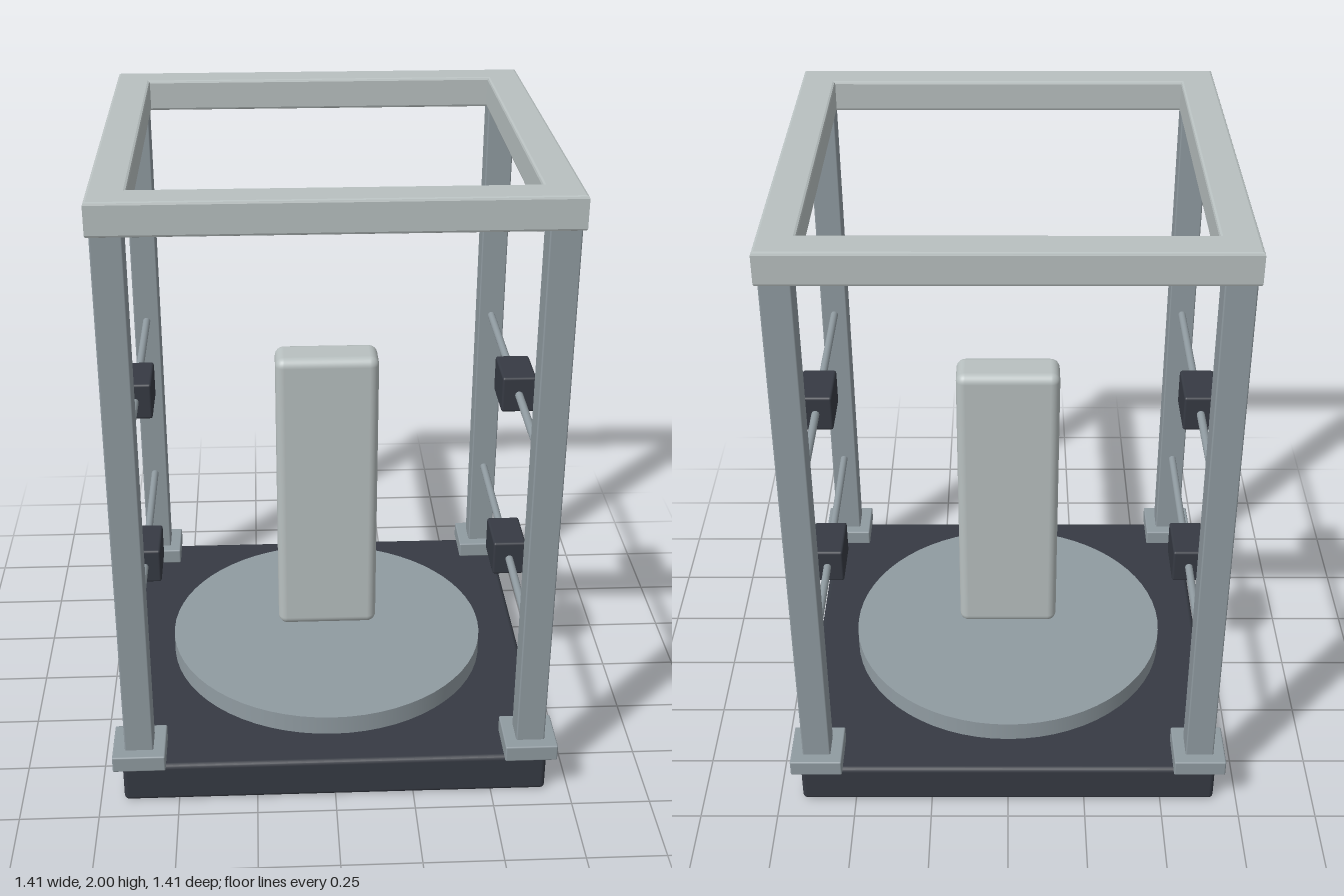
import * as THREE from 'three';
import { RoundedBoxGeometry } from 'three/addons/geometries/RoundedBoxGeometry.js';

export function createModel() {
  const model = new THREE.Group();
  model.name = 'rotatingPanelStand';

  const material = (name, color) => {
    const m = new THREE.MeshStandardMaterial({ color });
    m.name = name;
    return m;
  };
  const dark = material('dark charcoal', 0x363a43);
  const steel = material('steel grey', 0x909ba1);
  const pale = material('pale grey', 0xb8c0c0);

  const add = (name, geometry, mat, x, y, z) => {
    const mesh = new THREE.Mesh(geometry, mat);
    mesh.name = name;
    mesh.position.set(x, y, z);
    model.add(mesh);
    return mesh;
  };
  const box = (w, h, d, r, segments = 2) => new RoundedBoxGeometry(w, h, d, segments, r);

  // Base slab and turntable disc
  add('base', box(1.35, 0.135, 1.35, 0.015), dark, 0, 0.0675, 0);
  add('turntable', new THREE.CylinderGeometry(0.535, 0.535, 0.07, 64), steel, 0, 0.165, 0);

  // Upright panel hovering over the turntable
  add('panel', box(0.336, 1.01, 0.14, 0.03, 4), pale, 0, 0.752, 0);

  // Corner feet and posts
  const footGeometry = box(0.166, 0.055, 0.166, 0.005);
  const postGeometry = box(0.09, 1.75, 0.09, 0.005);
  for (const sx of [-1, 1]) {
    for (const sz of [-1, 1]) {
      add('foot', footGeometry, steel, sx * 0.62, 0.1645, sz * 0.62);
      add('post', postGeometry, steel, sx * 0.62, 1.04, sz * 0.62);
    }
  }

  // Side rods, each carrying a sensor block
  const rodGeometry = new THREE.CylinderGeometry(0.013, 0.013, 1.2, 16).rotateX(Math.PI / 2);
  const blockGeometry = box(0.11, 0.122, 0.178, 0.008);
  for (const sx of [-1, 1]) {
    for (const y of [0.51, 1.13]) {
      add('rod', rodGeometry, steel, sx * 0.62, y, 0);
      add('sensorBlock', blockGeometry, dark, sx * 0.62, y, 0);
    }
  }

  // Square top frame with softly bevelled edges
  const bevel = 0.008;
  const trace = (path, h) => {
    path.moveTo(-h, -h);
    path.lineTo(h, -h);
    path.lineTo(h, h);
    path.lineTo(-h, h);
    path.closePath();
    return path;
  };
  const outline = trace(new THREE.Shape(), 0.675 - bevel);
  outline.holes.push(trace(new THREE.Path(), 0.565 + bevel));
  const frameGeometry = new THREE.ExtrudeGeometry(outline, {
    depth: 0.1 - 2 * bevel, bevelEnabled: true, bevelThickness: bevel,
    bevelSize: bevel, bevelSegments: 2,
  }).rotateX(-Math.PI / 2);
  add('topFrame', frameGeometry, pale, 0, 1.9 + bevel, 0);

  return model;
}
